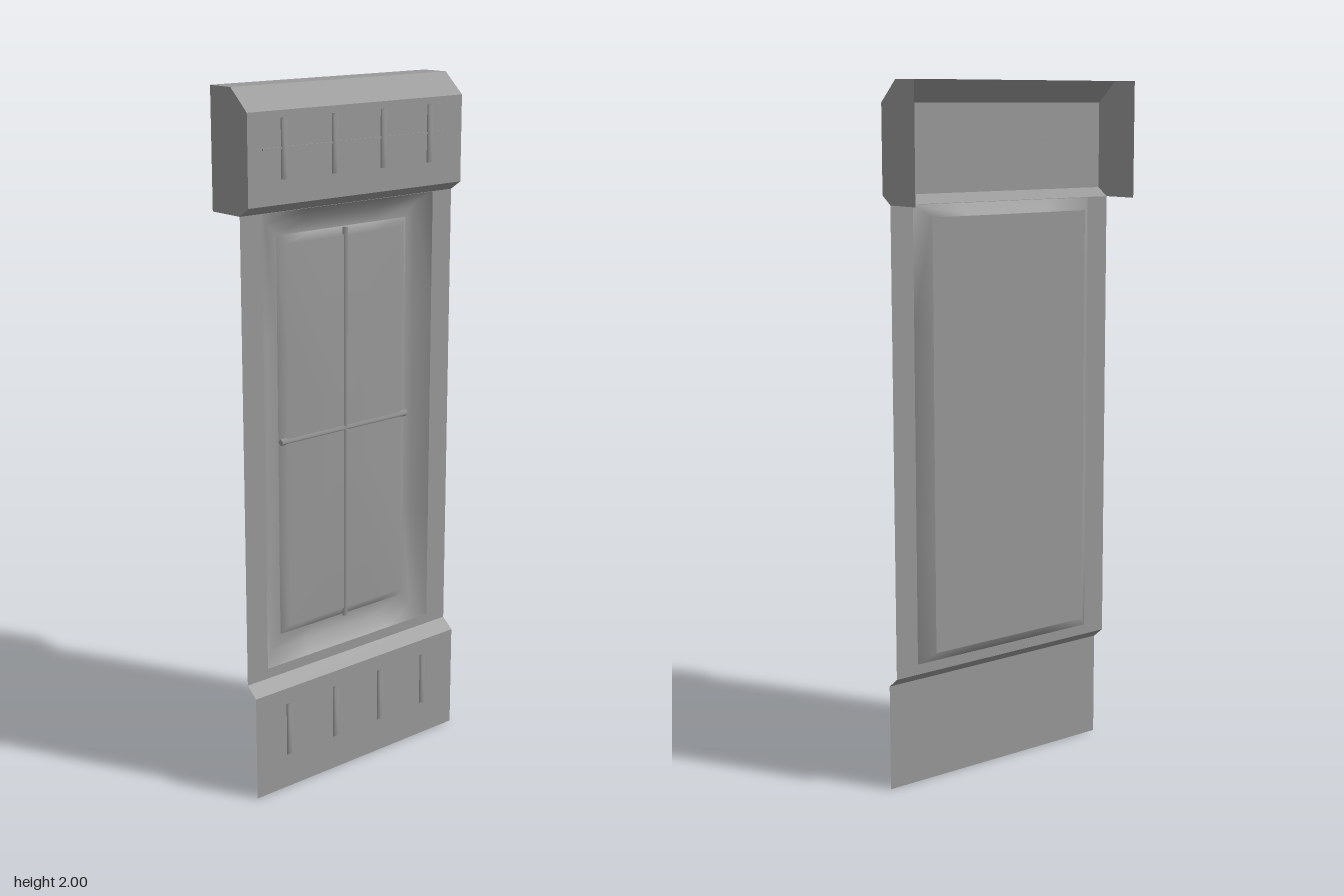
import * as THREE from 'three';

const material = new THREE.MeshStandardMaterial({ color: 0x999999, side: THREE.DoubleSide });

function add(parent, name, geometry, x = 0, y = 0, z = 0) {
  const mesh = new THREE.Mesh(geometry, material);
  mesh.name = name;
  mesh.position.set(x, y, z);
  parent.add(mesh);
  return mesh;
}

// Sheet swept along x through a [z, y] profile, with hard folds
function foldedSheet(profile, halfWidth) {
  const pos = [];
  for (let i = 0; i < profile.length - 1; i++) {
    const [z0, y0] = profile[i], [z1, y1] = profile[i + 1];
    const a = [-halfWidth, y0, z0], b = [halfWidth, y0, z0];
    const c = [halfWidth, y1, z1], d = [-halfWidth, y1, z1];
    pos.push(...a, ...b, ...c, ...a, ...c, ...d);
  }
  const g = new THREE.BufferGeometry();
  g.setAttribute('position', new THREE.Float32BufferAttribute(pos, 3));
  g.computeVertexNormals();
  return g;
}

// Nested rectangles [halfWidth, bottom, top, z] joined smoothly; each edge has n steps
function rectangleLoft(rings, n, cap) {
  const pos = [], index = [], count = 4 * n;
  for (const [w, b, t, z] of rings) {
    const corners = [[-w, b], [w, b], [w, t], [-w, t]];
    for (let i = 0; i < count; i++) {
      const [x0, y0] = corners[Math.floor(i / n)], [x1, y1] = corners[(Math.floor(i / n) + 1) % 4];
      const f = (i % n) / n;
      pos.push(x0 + (x1 - x0) * f, y0 + (y1 - y0) * f, z);
    }
  }
  for (let r = 0; r < rings.length - 1; r++) {
    for (let i = 0; i < count; i++) {
      const a = r * count + i, b = r * count + (i + 1) % count;
      index.push(a, b, b + count, a, b + count, a + count);
    }
  }
  if (cap) {
    const [, b, t, z] = rings[rings.length - 1];
    const k = (rings.length - 1) * count, centre = pos.length / 3;
    pos.push(0, (b + t) / 2, z);
    for (let i = 0; i < count; i++) index.push(k + i, k + (i + 1) % count, centre);
  }
  const g = new THREE.BufferGeometry();
  g.setAttribute('position', new THREE.Float32BufferAttribute(pos, 3));
  g.setIndex(index);
  g.computeVertexNormals();
  return g;
}

// Ridged bar with sloping sides, its back kept just in front of the backing
function glazingBar(length) {
  return new THREE.CylinderGeometry(1, 1, length, 4).toNonIndexed().scale(0.01, 1, 0.0105);
}

export function createModel() {
  const model = new THREE.Group();
  model.name = 'windowWallPanel';
  const W = 0.383, wallZ = 0.035, outerZ = 0.072;

  // Flat wall around the window opening
  const wall = new THREE.Shape([[-W, 0.34], [W, 0.34], [W, 1.67], [-W, 1.67]]
    .map(([x, y]) => new THREE.Vector2(x, y)));
  wall.holes.push(new THREE.Path([[-0.31, 0.37], [-0.31, 1.669], [0.31, 1.669], [0.31, 0.37]]
    .map(([x, y]) => new THREE.Vector2(x, y))));
  add(model, 'wall', new THREE.ShapeGeometry(wall), 0, 0, wallZ);

  // Window: sloped recess, backing, raised pane and glazing bars
  const windowGroup = new THREE.Group();
  windowGroup.name = 'window';
  model.add(windowGroup);
  add(windowGroup, 'recess', rectangleLoft([
    [0.31, 0.37, 1.669, wallZ], [0.27, 0.405, 1.635, 0.001], [0.236, 0.445, 1.6, 0.001],
  ], 4, false));
  add(windowGroup, 'backing', new THREE.PlaneGeometry(0.54, 1.23), 0, 1.02, 0);
  add(windowGroup, 'pane', rectangleLoft([
    [0.236, 0.445, 1.6, 0.001], [0.212, 0.47, 1.575, 0.015],
  ], 4, true));
  add(windowGroup, 'verticalGlazingBar', glazingBar(1.155), 0, 1.022, 0.0115);
  add(windowGroup, 'horizontalGlazingBar', glazingBar(0.472), 0, 1.022, 0.0115).rotation.z = Math.PI / 2;

  // Hood: folded front and top with end plates, open behind and below
  const hood = new THREE.Group();
  hood.name = 'hood';
  model.add(hood);
  const hoodProfile = [[wallZ, 1.67], [outerZ, 1.695], [outerZ, 1.94], [0.005, 2], [-0.082, 2]];
  add(hood, 'hoodFace', foldedSheet(hoodProfile, W));
  const end = new THREE.Shape([...hoodProfile, [-0.082, 1.67]]
    .map(([z, y]) => new THREE.Vector2(-z, y)));
  add(hood, 'leftEndPlate', new THREE.ShapeGeometry(end).rotateY(Math.PI / 2), W);
  const mirroredEnd = new THREE.Shape(end.getPoints().map((p) => new THREE.Vector2(-p.x, p.y)));
  add(hood, 'rightEndPlate', new THREE.ShapeGeometry(mirroredEnd).rotateY(-Math.PI / 2), -W);
  add(hood, 'seam', new THREE.BoxGeometry(0.655, 0.005, 0.005), -0.008, 1.843, outerZ + 0.001);

  // Skirt with a sloped ledge meeting the wall
  add(model, 'skirt', foldedSheet([[outerZ, 0], [outerZ, 0.31], [wallZ, 0.34]], W));

  // Matching rows of softly bevelled ribs on the hood and skirt
  const rib = rectangleLoft([
    [0.009, -0.08, 0.08, 0], [0.0075, -0.076, 0.076, 0.007],
  ], 1, true);
  for (const [row, y] of [['hoodRib', 1.84], ['skirtRib', 0.182]]) {
    for (let i = 0; i < 4; i++) add(model, row, rib, -0.264 + i * 0.174, y, outerZ);
  }
  return model;
}
